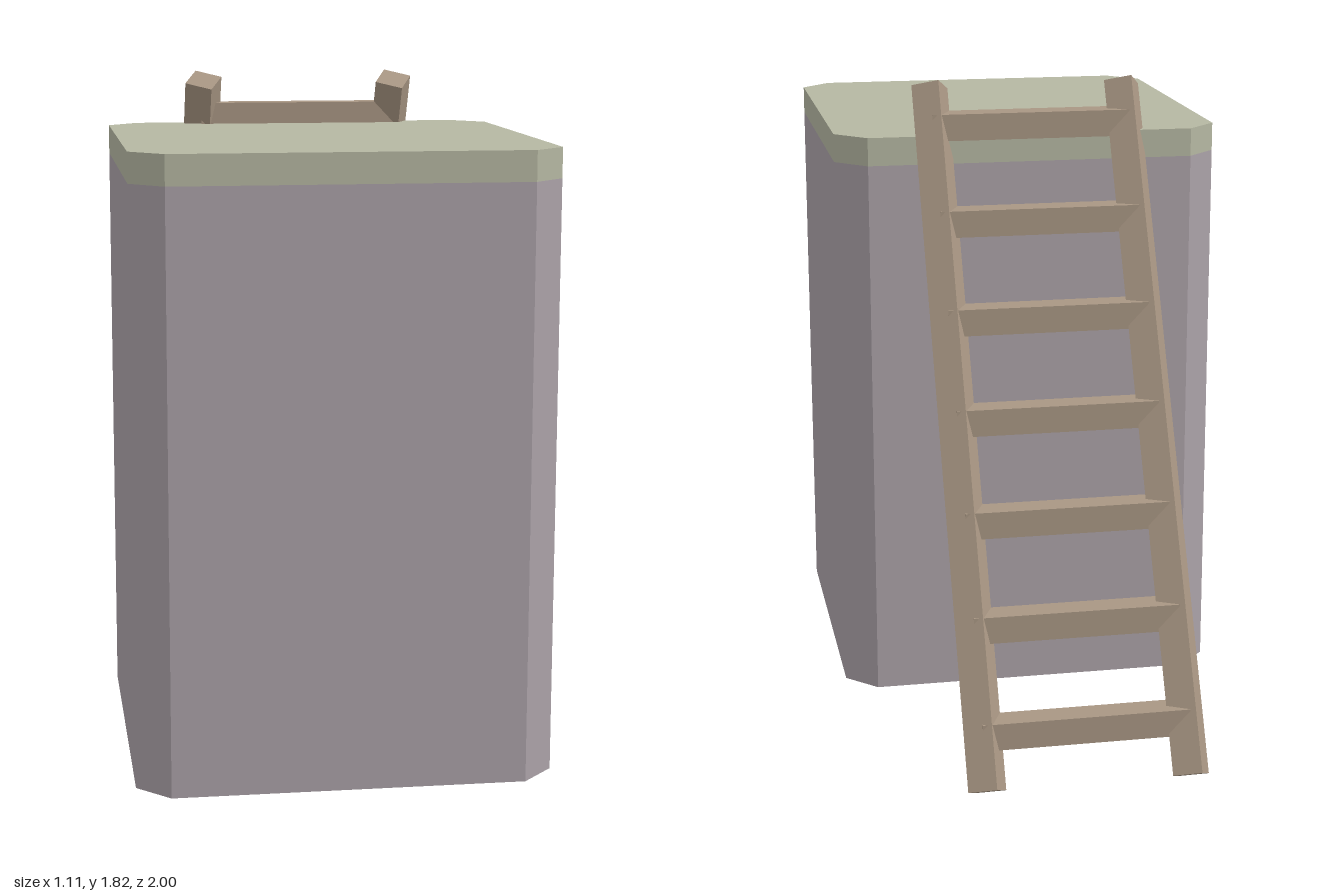
import * as THREE from 'three';

export function createModel() {
  const model = new THREE.Group();
  const material = (name, color) => {
    const m = new THREE.MeshStandardMaterial({ color });
    m.name = name;
    return m;
  };
  const stone = material('mauve stone', 0xaba2a8);
  const grass = material('pale green', 0xb5b7a2);
  const wood = material('brown wood', 0xa89683);

  const add = (parent, name, geometry, mat) => {
    const mesh = new THREE.Mesh(geometry, mat);
    mesh.name = name;
    parent.add(mesh);
    return mesh;
  };

  // Square block with cut corners, stacked in two layers
  const h = 0.555, c = 0.468, capY = 1.585, topY = 1.665;
  const outline = new THREE.Shape([
    [c, -h], [h, -c], [h, c], [c, h], [-c, h], [-h, c], [-h, -c], [-c, -h],
  ].map(([x, y]) => new THREE.Vector2(x, y)));
  const layer = (name, y0, y1, mat) => {
    const g = new THREE.ExtrudeGeometry(outline, { depth: y1 - y0, bevelEnabled: false });
    g.rotateX(-Math.PI / 2);
    add(model, name, g, mat).position.set(0, y0, 0.445);
  };
  layer('towerBody', 0, capY, stone);
  layer('towerTop', capY, topY, grass);

  // Ladder leaning on the back
  const ladder = new THREE.Group();
  ladder.name = 'ladder';
  model.add(ladder);

  // Rails lean forward and are both twisted the same way about their length
  const lean = Math.atan2(0.93, 1.743), twist = -0.462;
  for (const [name, x] of [['rightRail', -0.279], ['leftRail', 0.279]]) {
    const g = new THREE.BoxGeometry(0.081, 1.976, 0.079);
    g.rotateY(twist);
    g.rotateX(lean);
    add(ladder, name, g, wood).position.set(x, 0.921, -0.491);
  }

  // Level square rungs
  for (let i = 0; i < 7; i++) {
    const rung = add(ladder, 'rung' + (i + 1), new THREE.BoxGeometry(0.568, 0.075, 0.075), wood);
    rung.position.set(0, 1.688 - i * 0.2505, -0.079 - i * 0.1337);
  }
  return model;
}
